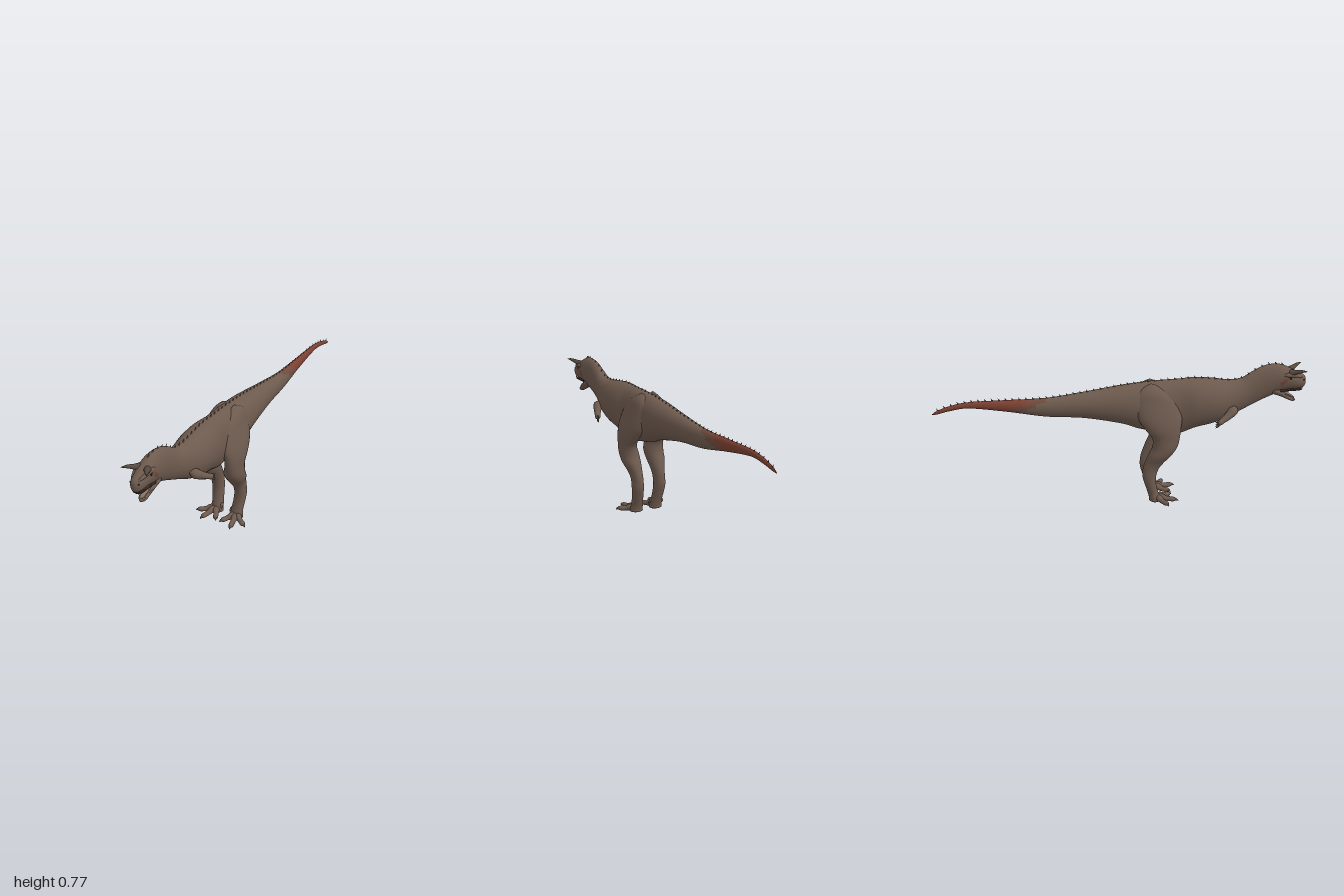
import * as THREE from 'three';
import { mergeGeometries } from 'three/addons/utils/BufferGeometryUtils.js';

const V = (x, y, z) => new THREE.Vector3(x, y, z);
const mat = (name, color) => {
  const m = new THREE.MeshStandardMaterial({ color });
  m.name = name;
  return m;
};

// Smoothly resample rows of numbers, n steps between neighbouring rows
function resample(rows, n) {
  const out = [];
  const at = (i) => rows[Math.max(0, Math.min(rows.length - 1, i))];
  for (let i = 0; i < rows.length - 1; i++) {
    for (let k = 0; k < n; k++) {
      const t = k / n;
      out.push(rows[i].map((b, c) => {
        const a = at(i - 1)[c], d = at(i + 1)[c], e = at(i + 2)[c];
        return b + 0.5 * t * (d - a + t * (2 * a - 5 * b + 4 * d - e + t * (3 * (b - d) + e - a)));
      }));
    }
  }
  out.push(rows[rows.length - 1]);
  return out;
}

// Skin elliptical rings [x, y, z, ru, rv]; pick(centre) selects a material index per quad
function loft(rows, { n = 5, sides = 16, frame = null, pick = null } = {}) {
  const rings = resample(rows, n);
  const centres = rings.map((r) => V(r[0], r[1], r[2]));
  const pos = [];
  rings.forEach((r, i) => {
    let u, v;
    if (frame) [u, v] = frame;
    else {
      const t = centres[Math.min(i + 1, rings.length - 1)].clone().sub(centres[Math.max(i - 1, 0)]).normalize();
      u = V(0, 1, 0).cross(t).normalize();
      v = t.clone().cross(u);
    }
    for (let j = 0; j < sides; j++) {
      const a = (j / sides) * Math.PI * 2;
      const p = centres[i].clone()
        .addScaledVector(u, Math.cos(a) * Math.max(0, r[3]))
        .addScaledVector(v, Math.sin(a) * Math.max(0, r[4]));
      pos.push(p.x, p.y, p.z);
    }
  });
  const buckets = [[], [], []];
  for (let i = 0; i < rings.length - 1; i++) {
    for (let j = 0; j < sides; j++) {
      const k = (j + 1) % sides;
      const a = i * sides + j, b = i * sides + k, c = b + sides, d = a + sides;
      const mid = (o) => (pos[a * 3 + o] + pos[c * 3 + o]) / 2;
      buckets[pick ? pick(V(mid(0), mid(1), mid(2))) : 0].push(a, b, c, a, c, d);
    }
  }
  const g = new THREE.BufferGeometry();
  g.setAttribute('position', new THREE.Float32BufferAttribute(pos, 3));
  g.setIndex(buckets.flat());
  if (pick) {
    let start = 0;
    buckets.forEach((b, m) => { g.addGroup(start, b.length, m); start += b.length; });
  }
  g.computeVertexNormals();
  return g;
}

// Round limb from [x, y, z, r] or [x, y, z, ru, rv], mirrored in x by s
const limb = (rows, s = 1, sides = 12) =>
  loft(rows.map(([x, y, z, r, q = r]) => [x * s, y, z, r, q]), { n: 4, sides });

export function createModel() {
  const model = new THREE.Group();
  const skin = mat('brown skin', 0x6d5a4e);
  const blush = mat('reddish brown skin', 0x70493c);
  const red = mat('rust red skin', 0x7c4031);
  const horn = mat('dark horn', 0x564a42);
  const mouth = mat('dark mouth', 0x3a2a26);
  const tongue = mat('pale tongue', 0x8b7869);
  const black = mat('eye black', 0x17120f);
  const add = (name, geo, material, parent = model) => {
    const m = new THREE.Mesh(geo, material);
    m.name = name;
    parent.add(m);
    return m;
  };

  // Tail, trunk, neck and skull: [z, top, bottom, half width]
  const profile = [
    [-1, 0.535, 0.531, 0], [-0.97, 0.555, 0.535, 0.005], [-0.9, 0.58, 0.552, 0.009],
    [-0.8, 0.598, 0.563, 0.013], [-0.6, 0.602, 0.536, 0.021], [-0.4, 0.606, 0.502, 0.036],
    [-0.2, 0.632, 0.488, 0.056], [0, 0.664, 0.45, 0.078], [0.1, 0.676, 0.415, 0.085],
    [0.2, 0.684, 0.395, 0.084], [0.31, 0.69, 0.378, 0.08], [0.4, 0.694, 0.41, 0.095],
    [0.5, 0.686, 0.435, 0.094], [0.58, 0.676, 0.462, 0.076], [0.65, 0.684, 0.5, 0.056],
    [0.7, 0.715, 0.525, 0.045], [0.76, 0.748, 0.556, 0.041], [0.82, 0.76, 0.583, 0.042],
    [0.87, 0.753, 0.605, 0.045], [0.92, 0.729, 0.616, 0.043], [0.96, 0.708, 0.616, 0.036],
    [0.985, 0.695, 0.621, 0.026], [0.997, 0.68, 0.635, 0.013], [1, 0.66, 0.652, 0],
  ];
  const paint = (p) => {
    const ragged = 0.012 * Math.sin(p.z * 90) + 0.01 * Math.sin(p.y * 300);
    const tail = -0.46 - p.z + (p.y - 0.57) * 2 + ragged;
    if (tail > 0.09) return 2;
    if (tail > 0) return 1;
    const cheek = Math.hypot((p.z - 0.868) * 1.2 - (p.y - 0.665) * 0.7, (p.y - 0.665) * 0.9) + ragged * 0.4;
    if (Math.abs(p.x) > 0.025 && cheek < 0.02) return cheek < 0.011 ? 2 : 1;
    return 0;
  };
  add('body', loft(
    profile.map(([z, t, b, w]) => [0, (t + b) / 2, z, w, (t - b) / 2]),
    { n: 8, sides: 48, frame: [V(1, 0, 0), V(0, 1, 0)], pick: paint }), [skin, blush, red]);

  // Row of small spines following the back
  const spines = { body: [], tail: [] };
  const line = resample(profile, 8);
  for (let z = -0.97; z < 0.87; z += 0.036) {
    const i = line.findIndex((r) => r[0] >= z);
    const [a, b] = [line[i - 1], line[i]];
    const y = a[1] + ((z - a[0]) / (b[0] - a[0])) * (b[1] - a[1]);
    const g = new THREE.ConeGeometry(0.007, 0.02, 6);
    g.scale(0.5, 1, 1).rotateX(-0.5).translate(0, y + 0.004, z);
    spines[z < -0.5 ? 'tail' : 'body'].push(g);
  }
  add('backSpines', mergeGeometries(spines.body), skin);
  add('tailSpines', mergeGeometries(spines.tail), blush);

  // Open lower jaw with lining, tongue and teeth
  add('lowerJaw', limb([[0, 0.63, 0.8, 0], [0, 0.617, 0.825, 0.036, 0.025], [0, 0.595, 0.865, 0.033, 0.02],
    [0, 0.57, 0.905, 0.026, 0.014], [0, 0.553, 0.935, 0.02, 0.011], [0, 0.545, 0.952, 0]], 1, 20), skin);
  add('mouthLining', limb([[0, 0.62, 0.84, 0], [0, 0.617, 0.86, 0.032, 0.02], [0, 0.612, 0.885, 0.028, 0.01],
    [0, 0.613, 0.97, 0.024, 0.006], [0, 0.617, 0.98, 0]], 1, 16), mouth);
  add('tongue', limb([[0, 0.62, 0.855, 0], [0, 0.607, 0.875, 0.02, 0.009], [0, 0.582, 0.912, 0.016, 0.006],
    [0, 0.566, 0.937, 0.01, 0.004], [0, 0.561, 0.944, 0]]), tongue);
  const teeth = [];
  for (const s of [1, -1]) {
    for (let i = 0; i < 7; i++) {
      const t = i / 6;
      teeth.push(new THREE.ConeGeometry(0.003, 0.012, 5).rotateX(Math.PI)
        .translate(s * (0.034 - 0.016 * t * t), 0.616 + 0.004 * t, 0.9 + 0.08 * t));
      teeth.push(new THREE.ConeGeometry(0.0025, 0.01, 5)
        .translate(s * (0.027 - 0.012 * t), 0.593 - 0.033 * t, 0.888 + 0.052 * t));
    }
  }
  add('teeth', mergeGeometries(teeth), tongue);

  for (const s of [1, -1]) {
    const side = new THREE.Group();
    side.name = s > 0 ? 'leftSide' : 'rightSide';
    model.add(side);

    // Brow horn, brow ridge, eye and nostril
    add('horn', limb([[0.012, 0.705, 0.895, 0], [0.022, 0.712, 0.91, 0.018], [0.037, 0.722, 0.935, 0.013],
      [0.056, 0.732, 0.963, 0.008], [0.073, 0.736, 0.99, 0]], s), horn, side);
    add('browRidge', limb([[0.034, 0.7, 0.86, 0], [0.036, 0.706, 0.885, 0.011], [0.032, 0.701, 0.925, 0.011],
      [0.022, 0.69, 0.965, 0.008], [0.015, 0.685, 0.985, 0]], s), skin, side);
    add('eye', new THREE.SphereGeometry(0.008, 12, 8).translate(s * 0.038, 0.688, 0.908), black, side);
    add('nostril', new THREE.SphereGeometry(0.005, 10, 6).scale(0.7, 0.8, 1)
      .translate(s * 0.024, 0.672, 0.985), mouth, side);

    // Tiny arm with stubby fingers
    add('arm', limb([[0.055, 0.54, 0.62, 0], [0.072, 0.53, 0.602, 0.026], [0.094, 0.506, 0.568, 0.021],
      [0.111, 0.489, 0.537, 0.016], [0.12, 0.478, 0.517, 0.014], [0.124, 0.472, 0.507, 0]], s), skin, side);
    for (let i = 0; i < 4; i++) {
      const d = (i - 1.5) * 0.009;
      add('finger', limb([[0.116, 0.482 + d * 0.6, 0.524, 0.006], [0.123, 0.474 + d, 0.509, 0.005],
        [0.128, 0.467 + d * 1.2, 0.494, 0]], s, 8), skin, side);
    }

    // Leg from hip to ankle: [x, y, z, half width, half depth]
    const leg = [
      [0.035, 0.685, 0.16, 0, 0], [0.043, 0.645, 0.165, 0.033, 0.07], [0.055, 0.58, 0.185, 0.043, 0.115],
      [0.073, 0.5, 0.205, 0.049, 0.118], [0.085, 0.44, 0.222, 0.046, 0.096], [0.086, 0.385, 0.238, 0.044, 0.074],
      [0.079, 0.33, 0.232, 0.052, 0.068], [0.077, 0.285, 0.208, 0.049, 0.063], [0.072, 0.24, 0.18, 0.037, 0.053],
      [0.07, 0.2, 0.16, 0.032, 0.044], [0.07, 0.15, 0.152, 0.033, 0.037], [0.067, 0.1, 0.16, 0.033, 0.031],
      [0.062, 0.05, 0.174, 0.033, 0.029], [0.062, 0.018, 0.184, 0.037, 0.031], [0.062, 0.002, 0.184, 0.034, 0.029],
      [0.062, 0, 0.184, 0, 0],
    ];
    add('leg', loft(leg.map(([x, ...r]) => [x * s, ...r]),
      { n: 5, sides: 28, frame: [V(1, 0, 0), V(0, 0, 1)] }), skin, side);

    // Three spread toes with claws: middle point, tip and claw end as [x, z]
    const toes = [
      [[0.108, 0.222], [0.138, 0.243], [0.156, 0.253]],
      [[0.078, 0.248], [0.088, 0.288], [0.093, 0.313]],
      [[0.036, 0.238], [0.022, 0.266], [0.011, 0.282]],
    ];
    for (const [m, t, c] of toes) {
      add('toe', limb([[0.062, 0.022, 0.18, 0.012], [(m[0] + 0.065) / 2, 0.021, (m[1] + 0.19) / 2, 0.019],
        [m[0], 0.014, m[1], 0.014], [t[0], 0.013, t[1], 0.013, 0.012], [(t[0] + c[0]) / 2, 0.011, (t[1] + c[1]) / 2, 0]], s),
      skin, side);
      add('toeClaw', limb([[t[0], 0.014, t[1], 0.009], [(t[0] + c[0]) / 2, 0.012, (t[1] + c[1]) / 2, 0.007],
        [c[0], 0.005, c[1], 0]], s, 8), horn, side);
    }
    add('dewClaw', limb([[0.05, 0.065, 0.17, 0.004], [0.036, 0.048, 0.18, 0.01],
      [0.029, 0.036, 0.19, 0.007], [0.026, 0.026, 0.2, 0]], s), skin, side);
  }
  return model;
}
